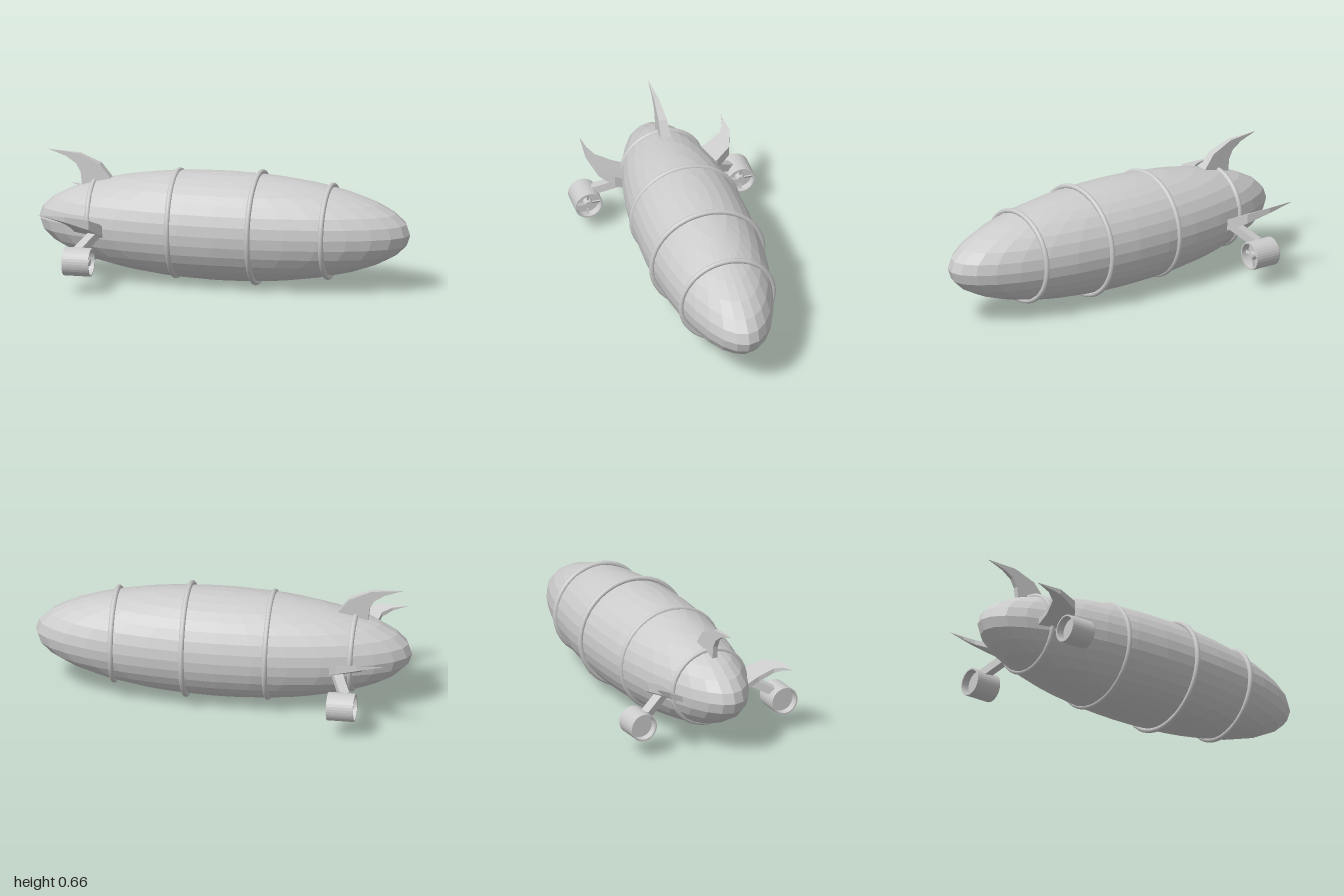
import * as THREE from 'three';

const Y = 0.307; // height of the hull axis
const flat = new THREE.MeshStandardMaterial({ color: 0xcccccc, flatShading: true });
const smooth = new THREE.MeshStandardMaterial({ color: 0xcccccc });

function add(parent, name, geometry, material = flat) {
  const mesh = new THREE.Mesh(geometry, material);
  mesh.name = name;
  parent.add(mesh);
  return mesh;
}

// Swept blade: a flat outline whose thickness is placed by a rule (x, h, side) -> [x, y, z]
function finGeometry(outline, place) {
  const shape = new THREE.Shape(outline.map(([x, h]) => new THREE.Vector2(x, h)));
  const g = new THREE.ExtrudeGeometry(shape, { depth: 2, bevelEnabled: false });
  g.translate(0, 0, -1);
  const p = g.attributes.position;
  for (let i = 0; i < p.count; i++) p.setXYZ(i, ...place(p.getX(i), p.getY(i), p.getZ(i)));
  g.computeVertexNormals();
  return g;
}

// Ducted fan with its axis along x
function createEngine() {
  const engine = new THREE.Group();
  engine.name = 'engine';
  const duct = [
    [0.066, -0.0725], [0.074, -0.0725], [0.075, -0.07], [0.075, 0.07],
    [0.074, 0.0725], [0.066, 0.0725], [0.066, -0.0725],
  ].map(([r, y]) => new THREE.Vector2(r, y));
  add(engine, 'duct', new THREE.LatheGeometry(duct, 32)).rotation.z = -Math.PI / 2;
  add(engine, 'bulkhead', new THREE.CylinderGeometry(0.067, 0.067, 0.06, 32)).rotation.z = Math.PI / 2;
  const hub = add(engine, 'hub', new THREE.CylinderGeometry(0.02, 0.025, 0.035, 20));
  hub.rotation.z = -Math.PI / 2;
  hub.position.x = 0.047;
  for (let i = 0; i < 4; i++) {
    const g = new THREE.BoxGeometry(0.006, 0.046, 0.014);
    g.rotateY(0.4);
    g.translate(0.045, 0.043, 0);
    add(engine, 'fanBlade', g).rotation.x = (i * Math.PI) / 2;
  }
  return engine;
}

export function createModel() {
  const model = new THREE.Group();
  model.name = 'airship';

  // Hull
  const hull = add(model, 'hull', new THREE.SphereGeometry(1, 32, 16));
  hull.scale.set(1, 0.288, 0.303);
  hull.position.y = Y;

  // Hoops around the hull: x, radius, yaw, roll
  const hoops = [
    [-0.697, 0.204, 0.025, 0.025], [-0.253, 0.277, 0.03, 0.012],
    [0.185, 0.291, 0.02, -0.008], [0.57, 0.242, 0.025, -0.008],
  ];
  for (const [x, r, yaw, roll] of hoops) {
    const g = new THREE.TorusGeometry(r, 0.014, 10, 48);
    g.rotateY(Math.PI / 2);
    g.scale(1, 1, 1.045);
    const hoop = add(model, 'hoop', g, smooth);
    hoop.rotation.set(0, yaw, roll);
    hoop.position.set(x, Y, 0);
  }

  // Top fin
  const topOutline = [
    [-0.76, 0.42], [-0.61, 0.42], [-0.61, 0.53], [-0.67, 0.605], [-0.785, 0.655],
    [-0.955, 0.667], [-0.855, 0.635], [-0.8, 0.6], [-0.775, 0.555],
  ];
  add(model, 'topFin', finGeometry(topOutline, (x, h, s) => [x, h, s * 0.077 * (x + 0.96)]));

  const sideOutline = [
    [-0.765, 0.17], [-0.605, 0.17], [-0.605, 0.28], [-0.65, 0.355], [-0.77, 0.392],
    [-0.917, 0.385], [-0.835, 0.37], [-0.785, 0.34], [-0.765, 0.26],
  ];
  for (const side of [1, -1]) {
    // Side fins, rising outwards and towards the tail
    const place = (x, h, s) => {
      const mid = 0.31 + (h - 0.28) * 0.47 - (x + 0.605) * 0.13;
      return [x, mid - side * s * 0.095 * (x + 0.92), side * h];
    };
    add(model, side > 0 ? 'rightFin' : 'leftFin', finGeometry(sideOutline, place));

    // Engine and its strut
    const engine = createEngine();
    engine.position.set(-0.6925, 0.168, side * 0.415);
    model.add(engine);
    const a = new THREE.Vector3(-0.61, 0.315, side * 0.19);
    const b = new THREE.Vector3(-0.7, 0.215, side * 0.375);
    const strut = add(model, 'engineStrut', new THREE.BoxGeometry(0.05, 0.042, a.distanceTo(b)));
    strut.position.copy(a).lerp(b, 0.5);
    strut.lookAt(b);
  }
  return model;
}
